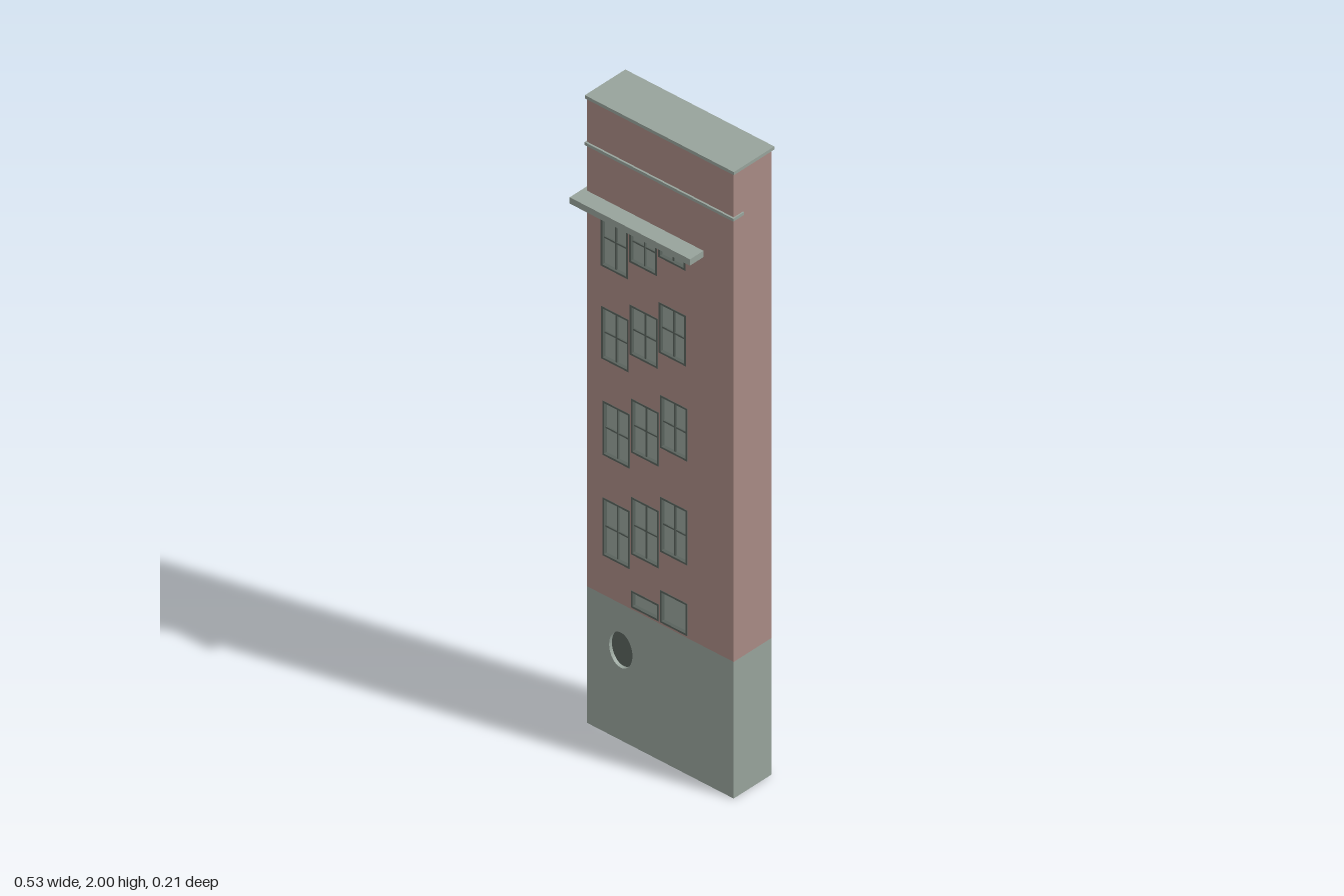
import * as THREE from 'three';

export function createModel() {
  const group = new THREE.Group();
  const paint = (name, color) => {
    const m = new THREE.MeshStandardMaterial({ color });
    m.name = name;
    return m;
  };
  const brick = paint('brick', 0xa88a84);
  const stone = paint('paleStone', 0x97a39b);
  const dark = paint('darkFrame', 0x59625c);

  // Shell extents: a U-shaped wall, open at the back and underneath
  const X0 = -0.253, X1 = 0.262, Z0 = -0.097, Z1 = 0.05, T = 0.02;
  const SPLIT = 0.435, TOP = 1.99;

  const add = (name, geometry, material, parent = group) => {
    const mesh = new THREE.Mesh(geometry, material);
    mesh.name = name;
    parent.add(mesh);
    return mesh;
  };
  const box = (name, material, x0, x1, y0, y1, z0, z1, parent) => {
    const g = new THREE.BoxGeometry(x1 - x0, y1 - y0, z1 - z0);
    g.translate((x0 + x1) / 2, (y0 + y1) / 2, (z0 + z1) / 2);
    return add(name, g, material, parent);
  };
  const rect = (x0, x1, y0, y1, Kind = THREE.Shape) => {
    const s = new Kind();
    s.moveTo(x0, y0);
    s.lineTo(x1, y0);
    s.lineTo(x1, y1);
    s.lineTo(x0, y1);
    s.closePath();
    return s;
  };
  const ellipse = (rx, ry, Kind) => {
    const s = new Kind();
    s.absellipse(-0.135, 0.287, rx, ry, 0, Math.PI * 2, false, 0);
    return s;
  };
  const extrude = (shape, z0, z1) => {
    const g = new THREE.ExtrudeGeometry(shape, { depth: z1 - z0, bevelEnabled: false, curveSegments: 16 });
    return g.translate(0, 0, z0);
  };

  // Windows: x0, x1, y0, y1, in three stepped columns
  const columns = [
    [-0.203, -0.107, [[1.48, 1.66], [1.185, 1.352], [0.88, 1.053], [0.56, 0.745]]],
    [-0.103, -0.005, [[1.538, 1.67], [1.244, 1.403], [0.934, 1.106], [0.61, 0.793], [0.441, 0.495]]],
    [-0.001, 0.095, [[1.602, 1.674], [1.298, 1.459], [0.997, 1.165], [0.666, 0.841], [0.441, 0.544]]],
  ];
  const windows = [];
  columns.forEach(([x0, x1, rows]) => rows.forEach(([y0, y1], row) => {
    const shift = row === 0 ? -0.002 : row > 1 ? 0.004 : 0;
    windows.push({ x0: x0 + shift, x1: x1 + shift, y0, y1, barred: row < 4 });
  }));

  // Front wall with openings
  const upper = rect(X0, X1, SPLIT, TOP);
  windows.forEach(w => upper.holes.push(rect(w.x0, w.x1, w.y0, w.y1, THREE.Path)));
  add('upperFrontWall', extrude(upper, Z1 - T, Z1), brick);
  const lower = rect(X0, X1, 0, SPLIT);
  lower.holes.push(ellipse(0.041, 0.056, THREE.Path));
  add('lowerFrontWall', extrude(lower, Z1 - T, Z1), stone);

  // Side walls
  [[X0, X0 + T, 'right'], [X1 - T, X1, 'left']].forEach(([a, b, side]) => {
    box(side + 'UpperSideWall', brick, a, b, SPLIT, TOP, Z0, Z1 - T);
    box(side + 'LowerSideWall', stone, a, b, 0, SPLIT, Z0, Z1 - T);
  });

  // Framed, recessed windows with crossed glazing bars
  windows.forEach(({ x0, x1, y0, y1, barred }) => {
    const win = new THREE.Group();
    win.name = 'window';
    group.add(win);
    const f = 0.006, b = 0.0025;
    const ring = rect(x0, x1, y0, y1);
    ring.holes.push(rect(x0 + f, x1 - f, y0 + f, y1 - f, THREE.Path));
    add('windowFrame', extrude(ring, Z1 - T, Z1 + 0.001), dark, win);
    box('windowPane', stone, x0 + f, x1 - f, y0 + f, y1 - f, 0.035, 0.04, win);
    if (!barred) return;
    const cx = (x0 + x1) / 2, cy = (y0 + y1) / 2;
    box('verticalBar', dark, cx - b, cx + b, y0 + f, y1 - f, 0.04, 0.045, win);
    box('horizontalBar', dark, x0 + f, x1 - f, cy - b, cy + b, 0.04, 0.0445, win);
  });

  // Oval porthole
  add('porthole', extrude(ellipse(0.041, 0.056, THREE.Shape), 0.034, 0.039), dark);

  // Wrap-around ledge over the windows, open on the left
  const ledge = new THREE.Group();
  ledge.name = 'ledge';
  group.add(ledge);
  box('frontLedge', stone, -0.267, 0.156, 1.675, 1.695, 0.025, 0.103, ledge);
  box('sideLedge', stone, -0.267, -0.228, 1.675, 1.695, -0.103, 0.025, ledge);

  // Thin string course and roof slab
  box('stringCourse', stone, X0 - 0.004, X1 + 0.004, 1.842, 1.851, 0.014, 0.056);
  box('roofSlab', stone, -0.257, 0.267, TOP, 2, -0.103, 0.055);

  return group;
}
